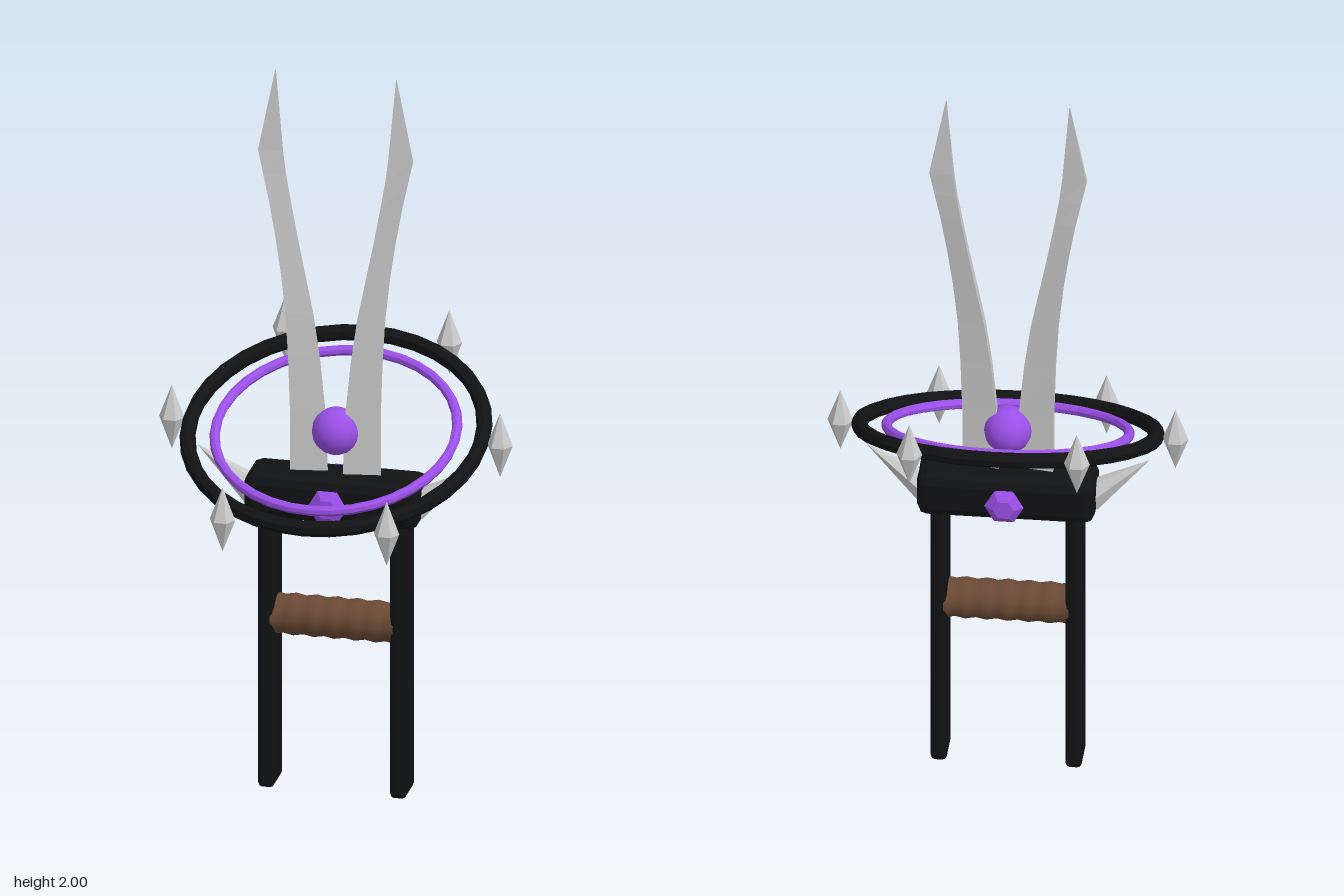
import * as THREE from 'three';
import { RoundedBoxGeometry } from 'three/addons/geometries/RoundedBoxGeometry.js';

const mat = (color, flatShading = false) => new THREE.MeshStandardMaterial({ color, flatShading });
const black = mat(0x111214, true);
const purple = mat(0x9b50e8);
const purpleFlat = mat(0x9b50e8, true);
const brown = mat(0x6b4a35);
const steel = mat(0xcccccc, true);

const TILT = THREE.MathUtils.degToRad(20);
const RING_Y = 1.0;

function add(parent, name, geometry, material, x = 0, y = 0, z = 0) {
  const mesh = new THREE.Mesh(geometry, material);
  mesh.name = name;
  mesh.position.set(x, y, z);
  parent.add(mesh);
  return mesh;
}

// Wedge-section blade: thick spine on the -x side, sharp edge on the +x side.
// outline rows: [y, distance of inner edge, distance of outer edge, half thickness]
function bladeGeometry(side) {
  const rows = [
    [0.84, 0.02, 0.12, 0.015], [1.05, 0.028, 0.12, 0.015], [1.2, 0.043, 0.125, 0.015],
    [1.32, 0.06, 0.132, 0.015], [1.44, 0.084, 0.145, 0.015], [1.54, 0.104, 0.16, 0.014],
    [1.64, 0.122, 0.178, 0.013], [1.71, 0.134, 0.193, 0.011], [1.775, 0.142, 0.207, 0.009],
    [2.0, 0.161, 0.163, 0.0005],
  ];
  const pos = [], index = [];
  rows.forEach(([y, inner, outer, t], i) => {
    const spine = side > 0 ? inner : -outer;
    const edge = side > 0 ? outer : -inner;
    pos.push(spine, y, t, edge, y, 0, spine, y, -t);
    if (i === 0) return;
    for (let k = 0; k < 3; k++) {
      const a = (i - 1) * 3 + k, b = (i - 1) * 3 + (k + 1) % 3;
      index.push(a, b, b + 3, a, b + 3, a + 3);
    }
  });
  const top = (rows.length - 1) * 3;
  index.push(0, 2, 1, top, top + 1, top + 2);
  const geo = new THREE.BufferGeometry();
  geo.setAttribute('position', new THREE.Float32BufferAttribute(pos, 3));
  geo.setIndex(index);
  const flat = geo.toNonIndexed();
  flat.computeVertexNormals();
  return flat;
}

// Lathe from [radius, height] pairs
const lathe = (pairs, sides) =>
  new THREE.LatheGeometry(pairs.map(([r, y]) => new THREE.Vector2(r, y)), sides);

export function createModel() {
  const model = new THREE.Group();
  model.name = 'punchDagger';

  // Chamfered crossbar and the two side rails
  add(model, 'crossbar', new RoundedBoxGeometry(0.468, 0.125, 0.154, 1, 0.028), black, 0, 0.823, 0);
  for (const s of [-1, 1]) {
    add(model, s > 0 ? 'leftRail' : 'rightRail',
      new RoundedBoxGeometry(0.043, 0.8, 0.11, 1, 0.012), black, s * 0.177, 0.4, 0);
  }

  // Rippled wrapped grip between the rails
  const profile = [];
  const steps = 24;
  for (let i = 0; i <= steps; i++) {
    const u = i / steps;
    profile.push([0.0535 + 0.0025 * Math.cos(u * Math.PI * 12), (u - 0.5) * 0.33]);
  }
  const grip = add(model, 'grip', lathe(profile, 16), brown, 0, 0.475, 0);
  grip.rotation.z = Math.PI / 2;

  // Twin blades
  for (const s of [-1, 1]) add(model, s > 0 ? 'leftBlade' : 'rightBlade', bladeGeometry(s), steel);

  // Central orb
  add(model, 'orb', new THREE.SphereGeometry(0.064, 14, 10), purple, 0, RING_Y, 0);

  // Cut gems on the front and back of the crossbar
  for (const s of [-1, 1]) {
    const gem = add(model, s > 0 ? 'frontGem' : 'backGem',
      lathe([[0, -0.04], [0.036, -0.03], [0.052, 0], [0.028, 0.019], [0, 0.019]], 6),
      purpleFlat, 0, 0.822, s * 0.099);
    gem.geometry.rotateY(Math.PI / 6);
    gem.rotation.x = s * Math.PI / 2;
  }

  // Cone spikes angled up and out from the crossbar ends
  const up = new THREE.Vector3(0, 1, 0);
  for (const s of [-1, 1]) {
    const base = new THREE.Vector3(s * 0.215, 0.81, 0);
    const tip = new THREE.Vector3(s * 0.372, 0.93, 0);
    const dir = tip.clone().sub(base);
    const spike = add(model, s > 0 ? 'leftSpike' : 'rightSpike',
      new THREE.ConeGeometry(0.042, dir.length(), 6), steel);
    spike.position.copy(base).add(tip).multiplyScalar(0.5);
    spike.quaternion.setFromUnitVectors(up, dir.normalize());
  }

  // Tilted double ring
  const rings = new THREE.Group();
  rings.name = 'rings';
  rings.position.y = RING_Y;
  rings.rotation.x = TILT;
  model.add(rings);
  add(rings, 'outerRing', new THREE.TorusGeometry(0.389, 0.021, 8, 36).rotateX(Math.PI / 2), black);
  add(rings, 'innerRing', new THREE.TorusGeometry(0.318, 0.0135, 8, 36).rotateX(Math.PI / 2), purpleFlat);

  // Six upright hexagonal crystals spaced around the outer ring
  const crystalGeo = lathe([[0, -0.09], [0.034, 0], [0, 0.09]], 6).rotateY(Math.PI / 6);
  for (let i = 0; i < 6; i++) {
    const a = i * Math.PI / 3;
    const z = 0.44 * Math.sin(a);
    add(model, 'ringCrystal' + (i + 1), crystalGeo, steel,
      0.44 * Math.cos(a), RING_Y - z * Math.sin(TILT), z * Math.cos(TILT));
  }

  return model;
}
